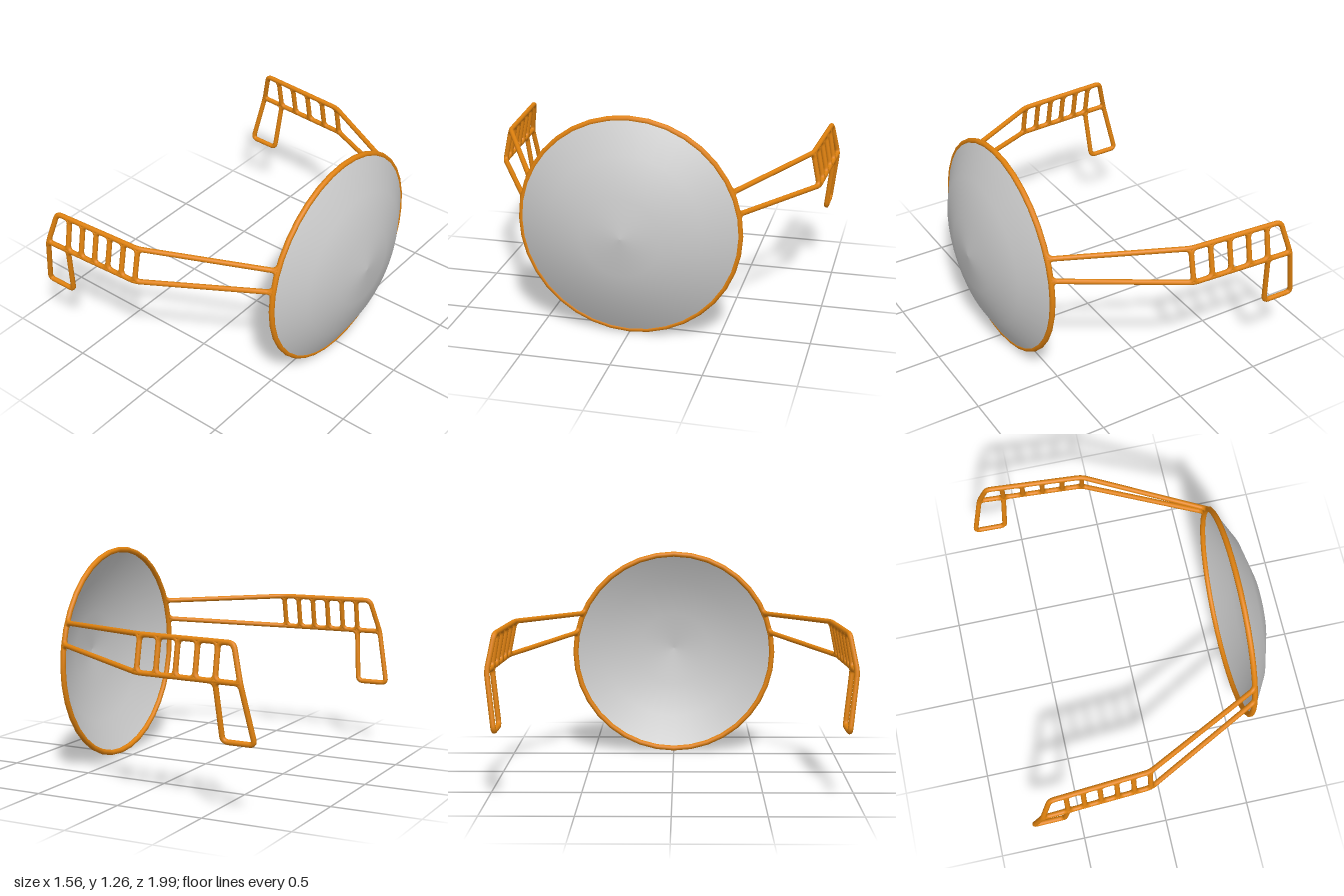
import * as THREE from 'three';

const V = (x, y, z) => new THREE.Vector3(x, y, z);
const orange = new THREE.MeshStandardMaterial({ color: 0xe0820f });
const grey = new THREE.MeshStandardMaterial({ color: 0xcccccc, side: THREE.DoubleSide });
const RIM_X = 0.585, RIM_Y = 0.63, RIM_R = 0.613, ROD = 0.0145;

// Polyline with rounded corners
function roundedPath(pts, r, closed) {
  const path = new THREE.CurvePath(), n = pts.length;
  const toward = (a, b) => a.clone().add(b.clone().sub(a).setLength(Math.min(r, a.distanceTo(b) * 0.45)));
  let last = closed ? null : pts[0];
  for (let i = closed ? 0 : 1; i < (closed ? n : n - 1); i++) {
    const p = pts[i], a = toward(p, pts[(i + n - 1) % n]), b = toward(p, pts[(i + 1) % n]);
    if (last) path.add(new THREE.LineCurve3(last, a));
    path.add(new THREE.QuadraticBezierCurve3(a, p, b));
    last = b;
  }
  path.add(new THREE.LineCurve3(last, closed ? path.curves[0].v0 : pts[n - 1]));
  return path;
}

function rod(name, pts, r = 0.035, closed = false) {
  const path = roundedPath(pts, r, closed);
  const segments = Math.max(8, Math.ceil(path.getLength() / 0.009));
  const mesh = new THREE.Mesh(new THREE.TubeGeometry(path, segments, ROD, 10, closed), orange);
  mesh.name = name;
  return mesh;
}

// Small curved web in the outer corner between two rods
function fillet(joint, a, b) {
  const pa = joint.clone().add(a.clone().sub(joint).setLength(0.04));
  const pb = joint.clone().add(b.clone().sub(joint).setLength(0.04));
  const mesh = new THREE.Mesh(
    new THREE.TubeGeometry(new THREE.QuadraticBezierCurve3(pa, joint, pb), 8, ROD, 10), orange);
  mesh.name = 'cornerFillet';
  return mesh;
}

function createArm(side, rungCount) {
  const arm = new THREE.Group();
  const P = (x, y, z) => V(x, y, z * side);
  const onRim = y => P(RIM_X, y, Math.sqrt(RIM_R ** 2 - (y - RIM_Y) ** 2));

  const rimTop = onRim(0.874), rimBottom = onRim(0.755);
  const bendTop = P(-0.09, 0.905, 0.905), bendBottom = P(-0.09, 0.71, 0.945);
  const endTop = P(-0.652, 0.905, 0.945), endBottom = P(-0.707, 0.71, 0.982);
  const footOuter = P(-0.77, 0.397, 0.942), footInner = P(-0.588, 0.397, 0.938);
  const onTop = x => bendTop.clone().lerp(endTop, (x - bendTop.x) / (endTop.x - bendTop.x));
  const onBottom = x => bendBottom.clone().lerp(endBottom, (x - bendBottom.x) / (endBottom.x - bendBottom.x));
  const legTop = onBottom(-0.562);

  // Continuous rails and foot
  arm.add(rod('upperRailAndFoot', [rimTop, bendTop, endTop, endBottom, footOuter, footInner, legTop], 0.03));
  arm.add(rod('lowerRail', [rimBottom, bendBottom, endBottom], 0.03));

  // Rounded openings between the rungs
  const stations = [];
  for (let i = 0; i < rungCount; i++) {
    const x = -0.09 - 0.472 * i / (rungCount - 1);
    stations.push([onTop(x), onBottom(x)]);
  }
  stations.unshift([rimTop, rimBottom]);
  stations.push([endTop, endBottom]);
  for (let i = 1; i < stations.length; i++) {
    const [a, b] = stations[i - 1], [c, d] = stations[i];
    arm.add(rod('openingFrame', [a, c, d, b], 0.038, true));
  }
  arm.add(rod('footLoop', [endBottom, footOuter, footInner, legTop], 0.034, true));

  // Outer webs at the rim and leg
  arm.add(fillet(rimTop, onRim(0.93), bendTop));
  arm.add(fillet(rimBottom, onRim(0.70), bendBottom));
  arm.add(fillet(legTop, footInner, bendBottom));
  return arm;
}

export function createModel() {
  const model = new THREE.Group();
  model.name = 'framedDome';

  // Round rim
  const rim = new THREE.Mesh(new THREE.TorusGeometry(RIM_R, 0.016, 10, 36), orange);
  rim.name = 'rim';
  rim.rotation.y = Math.PI / 2;
  rim.position.set(RIM_X, RIM_Y, 0);
  model.add(rim);

  // Shallow dome bulging out of the rim
  const profile = [[0.617, 0.592], [0.433, 0.694], [0.222, 0.757], [0, 0.781]]
    .map(([r, x]) => new THREE.Vector2(r, x));
  const dome = new THREE.Mesh(new THREE.LatheGeometry(profile, 36), grey);
  dome.name = 'dome';
  dome.rotation.z = -Math.PI / 2;
  dome.position.y = RIM_Y;
  model.add(dome);

  // Side arms with ladder sections
  const leftArm = createArm(1, 6);
  leftArm.name = 'frontArm';
  const rightArm = createArm(-1, 5);
  rightArm.name = 'rearArm';
  model.add(leftArm, rightArm);
  return model;
}
